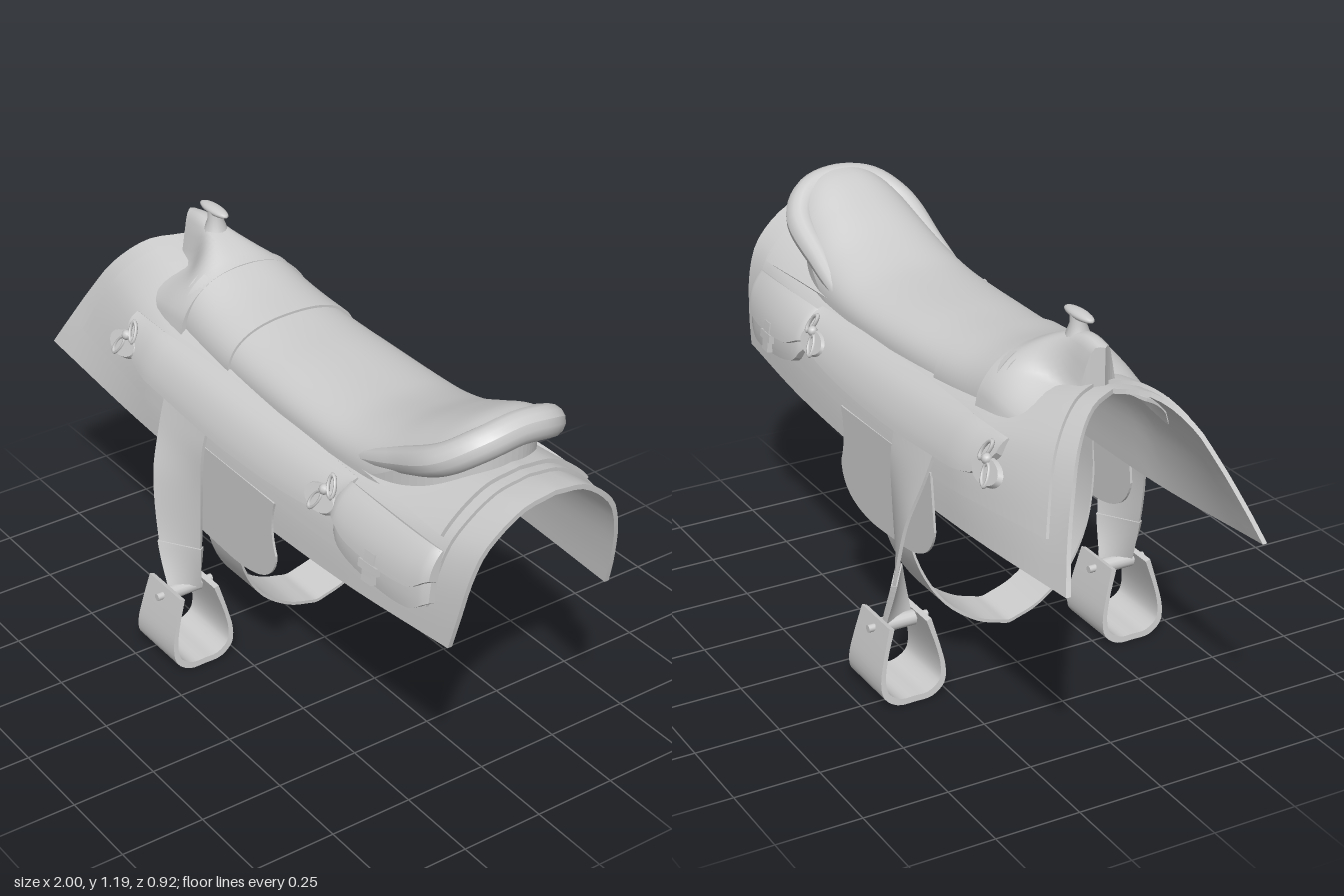
import * as THREE from 'three';

const material = new THREE.MeshStandardMaterial({ color: 0xcccccc, roughness: 0.8 });

// Smooth function through [x, y] pairs, held flat past both ends
function curve(...p) {
  const slope = i => {
    const a = p[Math.max(i - 1, 0)], b = p[Math.min(i + 1, p.length - 1)];
    return (b[1] - a[1]) / (b[0] - a[0]);
  };
  return x => {
    if (x <= p[0][0]) return p[0][1];
    const i = p.findIndex(q => q[0] >= x) - 1;
    if (i < 0) return p[p.length - 1][1];
    const d = p[i + 1][0] - p[i][0], t = (x - p[i][0]) / d, t2 = t * t, t3 = t2 * t;
    return p[i][1] * (2 * t3 - 3 * t2 + 1) + slope(i) * d * (t3 - 2 * t2 + t)
      + p[i + 1][1] * (3 * t2 - 2 * t3) + slope(i + 1) * d * (t3 - t2);
  };
}

// Closed solid between two surfaces (u, v) => [x, y, z]
function slab(outer, inner, nu, nv) {
  const pos = [], idx = [];
  const quad = (a, b, c, d) => idx.push(a, b, c, a, c, d);
  const at = (k, i, j) => k * (nu + 1) * (nv + 1) + j * (nu + 1) + i;
  for (const f of [outer, inner])
    for (let j = 0; j <= nv; j++) for (let i = 0; i <= nu; i++) pos.push(...f(i / nu, j / nv));
  for (let j = 0; j < nv; j++) for (let i = 0; i < nu; i++) {
    quad(at(0, i, j), at(0, i + 1, j), at(0, i + 1, j + 1), at(0, i, j + 1));
    quad(at(1, i, j), at(1, i, j + 1), at(1, i + 1, j + 1), at(1, i + 1, j));
  }
  const wall = (a, b) => {
    const n = pos.length / 3;
    for (const f of [inner, outer]) for (const q of [a, b]) pos.push(...f(q[0] / nu, q[1] / nv));
    quad(n, n + 1, n + 3, n + 2);
  };
  for (let i = 0; i < nu; i++) { wall([i, 0], [i + 1, 0]); wall([i + 1, nv], [i, nv]); }
  for (let j = 0; j < nv; j++) { wall([nu, j], [nu, j + 1]); wall([0, j + 1], [0, j]); }
  const g = new THREE.BufferGeometry();
  g.setAttribute('position', new THREE.Float32BufferAttribute(pos, 3));
  g.setIndex(idx);
  g.computeVertexNormals();
  return g;
}

// The arched surface everything rests on: spine height, lower edge, half width
const spine = curve([-1, 1.05], [-0.73, 1.02], [-0.4, 0.96], [0.2, 0.93], [0.6, 0.95], [0.98, 1.01]);
const hem = curve([-1, 0.64], [-0.5, 0.6], [0, 0.59], [0.5, 0.595], [0.95, 0.61]);
const half = curve([-1, 0.288], [-0.5, 0.292], [0, 0.297], [0.5, 0.285], [0.95, 0.25]);
const archW = curve([0, 0], [0.2, 0.39], [0.45, 0.78], [0.62, 0.92], [0.82, 0.98], [1, 1]);
const flareW = curve([0, 0], [0.2, 0.28], [0.34, 0.45], [0.58, 0.7], [0.82, 0.89], [1, 1]);
const flare = curve([-0.88, 1], [-0.45, 0]);
const archH = curve([0, 1], [0.2, 0.95], [0.45, 0.74], [0.62, 0.52], [0.82, 0.24], [1, 0]);
const vOfH = curve([0, 1], [0.24, 0.82], [0.52, 0.62], [0.74, 0.45], [0.95, 0.2], [1, 0]);
const hOfW = curve([0, 1], [0.39, 0.95], [0.78, 0.74], [0.92, 0.52], [0.98, 0.24], [1, 0]);
const vAtY = (x, y) => vOfH((y - hem(x)) / (spine(x) - hem(x)));
const yAt = (x, z) => hem(x) + (spine(x) - hem(x)) * hOfW(Math.abs(z) / half(x));
const arch = (x, v, o) => {
  const a = Math.abs(v), h = archH(a), w = archW(a) + (flareW(a) - archW(a)) * flare(x);
  return [x, hem(x) + (spine(x) - hem(x)) * h + o * h, Math.sign(v) * (half(x) + o) * w];
};

// Layer draped over the arch
function drape(x0, x1, edgeY, o0, o1) {
  const f = o => (u, t) => {
    const s = 1 - 2 * t, a = Math.abs(s);
    const x = x0(a) + (x1(a) - x0(a)) * u;
    return arch(x, s * (edgeY ? vAtY(x, edgeY(x)) : 1), o);
  };
  return slab(f(o1), f(o0), 40, 32);
}

// Point of the left flank near height y, raised by o
const flank = (x, y, o) => arch(x, vAtY(x, y - 0.02), o);

// Panel lying on the left flank; bulge is its outer offset
function panel(x0, x1, low, high, o0, bulge) {
  const f = off => (u, v) => {
    const x = x0 + (x1 - x0) * u;
    return flank(x, low(x) + (high(x) - low(x)) * v, off(u, v));
  };
  return slab(f(bulge), f(() => o0), 28, 10);
}

// Path in the z-y plane: a half outline from its top down, its mirror, and the middle point
const hanging = (side, bottom) => new THREE.CatmullRomCurve3(
  [...side.map(([z, y]) => [-z, y]), [0, bottom], ...side.slice().reverse()].map(([z, y]) => new THREE.Vector3(0, y, z)));

function mirrored(geometry) {
  const g = (geometry.index ? geometry.toNonIndexed() : geometry.clone()).scale(1, 1, -1);
  for (const a of Object.values(g.attributes)) {
    for (let i = 0; i < a.count; i += 3) for (let k = 0; k < a.itemSize; k++) {
      const t = a.getComponent(i + 1, k);
      a.setComponent(i + 1, k, a.getComponent(i + 2, k));
      a.setComponent(i + 2, k, t);
    }
  }
  return g;
}

export function createModel() {
  const model = new THREE.Group();
  model.name = 'saddle';
  const add = (name, geometry) => {
    const m = new THREE.Mesh(geometry, material);
    m.name = name;
    model.add(m);
  };
  const pair = (name, geometry) => { add(name + 'Left', geometry); add(name + 'Right', mirrored(geometry)); };
  const flat = y => () => y;

  // Blanket, skirt and rear jockey, stacked
  add('blanket', drape(a => -0.72 - 0.28 * a ** 1.08, a => 0.995 - 0.075 * a * a, null, 0, 0.014));
  add('skirt', drape(a => -0.65 - 0.21 * a, a => 0.89 - 0.05 * a * a,
    curve([-0.86, 0.73], [-0.4, 0.69], [0, 0.68], [0.85, 0.69]), 0.012, 0.024));
  add('rearJockey', drape(flat(0.42), a => 0.855 - 0.01 * a, flat(0.875), 0.02, 0.036));

  // Seat with its dished top line; the rear face slants under the cantle
  const seatTop = curve([-0.45, 1.075], [-0.3, 1.03], [-0.15, 1.008], [0, 0.998], [0.33, 0.995],
    [0.5, 1.033], [0.65, 1.1], [0.77, 1.155], [0.82, 1.163]);
  const seatHalf = curve([-0.45, 0.195], [-0.15, 0.21], [0.3, 0.222], [0.7, 0.212], [0.81, 0.19]);
  const seat = (x0, x1, o, slant) => (u, t) => {
    const a = (0.5 - t) * Math.PI, c = Math.max(Math.cos(a), 0) ** 0.8;
    const x = x0 + (x1 - x0) * u - slant * u ** 3 * (1 - c);
    const z = Math.sign(a) * (seatHalf(x) + o) * Math.abs(Math.sin(a)) ** 0.85;
    return [x, 0.88 + (seatTop(x) + o - 0.88) * c, z];
  };
  const under = f => (u, t) => { const [x, y, z] = f(u, t); return [x, Math.min(y - 0.01, yAt(x, z)), z]; };
  const seatBody = seat(-0.45, 0.82, 0, 0.36);
  add('seat', slab(seatBody, under(seatBody), 48, 40));
  add('seatBand', slab(seat(-0.43, -0.16, 0.007, 0), seat(-0.43, -0.16, -0.005, 0), 12, 32));

  // Cantle roll, thinning toward its ends
  const rim = [[0.38, 0.895, 0.2], [0.58, 0.97, 0.182], [0.755, 1.052, 0.165], [0.82, 1.103, 0.1]];
  const rimPath = new THREE.CatmullRomCurve3([...rim, [0.832, 1.122, 0],
    ...rim.map(([x, y, z]) => [x, y, -z]).reverse()].map(p => new THREE.Vector3(...p)));
  const roll = new THREE.TubeGeometry(rimPath, 60, 0.046, 14);
  const rp = roll.attributes.position, q = new THREE.Vector3();
  for (let i = 0; i < rp.count; i++) {
    const u = Math.floor(i / 15) / 60;
    q.fromBufferAttribute(rp, i).lerp(rimPath.getPointAt(u), 0.75 * Math.abs(2 * u - 1) ** 2.5);
    rp.setXYZ(i, q.x, q.y, q.z);
  }
  roll.computeVertexNormals();
  add('cantleRoll', roll);

  // Fork, flaring from a narrow neck back to the seat
  const forkTop = curve([-0.68, 1.13], [-0.6, 1.14], [-0.5, 1.115], [-0.4, 1.067]);
  const neck = curve([-0.67, 0.045], [-0.55, 0.06], [-0.4, 0.16]);
  const spread = curve([-0.67, 0.42], [-0.55, 0.56], [-0.4, 1]);
  const forkHalf = curve([-0.67, 0.2], [-0.5, 0.222], [-0.4, 0.225]);
  const fork = (u, t) => {
    const v = 1 - 2 * t, front = 0.035 * Math.sin(Math.PI * Math.min(Math.abs(v) * 1.6, 1));
    const x = -0.68 + 0.285 * u + front * (1 - u), z = forkHalf(x) * v, s = spread(x);
    const h = s * Math.sqrt(Math.max(1 - Math.abs(v) ** 2.2, 0)) + (1 - s) * Math.exp(-((z / neck(x)) ** 4));
    return [x, 0.88 + (forkTop(x) - 0.88) * h, z];
  };
  add('fork', slab(fork, under(fork), 16, 40));

  // Horn
  const stem = [[0.045, 0], [0.034, 0.03], [0.023, 0.06], [0.022, 0.09]].map(p => new THREE.Vector2(...p));
  add('hornStem', new THREE.LatheGeometry(stem, 16).translate(-0.545, 1.09, 0));
  add('hornCap', new THREE.SphereGeometry(1, 20, 10).scale(0.067, 0.013, 0.022).translate(-0.55, 1.177, 0));

  // Side jockeys and saddle bags
  pair('sideJockey', panel(-0.6, 0.48,
    curve([-0.6, 0.86], [-0.53, 0.79], [-0.3, 0.762], [0, 0.75], [0.3, 0.76], [0.43, 0.785], [0.48, 0.84]),
    curve([-0.6, 0.9], [-0.3, 0.895], [0.48, 0.88]), 0.015, (u, v) => 0.044 - 0.016 * v * v));
  const round = (u, v) => Math.max(Math.sin(Math.PI * u) * Math.sin(Math.PI * Math.min(v + 0.1, 1)), 0) ** 0.35;
  const bagLow = curve([0.47, 0.77], [0.51, 0.725], [0.64, 0.698], [0.8, 0.693], [0.86, 0.73]);
  pair('saddleBag', panel(0.47, 0.86, bagLow, flat(0.865), 0.01, (u, v) => 0.034 + 0.026 * round(u, v)));
  pair('bagFlap', panel(0.465, 0.865, curve([0.465, 0.79], [0.56, 0.755], [0.8, 0.75], [0.865, 0.79]),
    flat(0.87), 0.02, (u, v) => 0.048 + 0.019 * Math.sin(Math.PI * u) ** 0.4 - 0.02 * v * v));
  pair('bagStrap', panel(0.645, 0.685, flat(0.7), flat(0.775), 0.03, () => 0.071));
  pair('bagBuckle', panel(0.63, 0.7, flat(0.728), flat(0.748), 0.03, () => 0.074));

  // Tie strings: a rosette with two loops and a knot
  for (const [name, x, y] of [['frontTie', -0.59, 0.83], ['rearTie', 0.41, 0.82]]) {
    const place = g => g.rotateX(-0.45).translate(...flank(x, y, 0.042));
    pair(name + 'Rosette', place(new THREE.CylinderGeometry(0.05, 0.055, 0.014, 20).rotateX(Math.PI / 2)
      .scale(1.25, 0.7, 1).translate(0, -0.02, 0.001)));
    pair(name + 'Knot', place(new THREE.SphereGeometry(0.015, 10, 8).translate(0.01, 0.01, 0.01)));
    for (const s of [-1, 1]) pair(name + (s < 0 ? 'Front' : 'Back') + 'Loop',
      place(new THREE.TorusGeometry(0.025, 0.006, 6, 18).scale(0.55, 1.2, 1)
        .rotateZ(s * 0.4).translate(s * 0.02 + 0.01, s * 0.028, 0.008)));
  }

  // Rigging flaps beneath the skirt
  const flap = new THREE.Shape();
  flap.moveTo(-0.32, 0.7);
  flap.lineTo(-0.34, 0.53);
  flap.quadraticCurveTo(-0.32, 0.42, -0.16, 0.41);
  flap.lineTo(0, 0.4);
  flap.quadraticCurveTo(0.21, 0.4, 0.215, 0.52);
  flap.quadraticCurveTo(0.18, 0.6, 0.21, 0.69);
  pair('riggingFlap', new THREE.ExtrudeGeometry(flap, { depth: 0.007, bevelEnabled: false }).translate(0, 0, 0.308));

  // Fenders, turning a quarter as they drop to the stirrups
  const fx = curve([0.2, -0.21], [0.35, -0.262], [0.55, -0.305], [0.68, -0.33], [0.77, -0.34]);
  const fz = curve([0.2, 0.402], [0.35, 0.393], [0.55, 0.375], [0.68, 0.334], [0.77, 0.305]);
  const bx = curve([0.2, -0.19], [0.35, -0.155], [0.55, -0.135], [0.77, -0.12]);
  const bz = curve([0.2, 0.31], [0.35, 0.32], [0.55, 0.324], [0.68, 0.322], [0.77, 0.305]);
  const fender = t => (u, v) => {
    const y = 0.2 + 0.57 * v, dx = bx(y) - fx(y), dz = bz(y) - fz(y), l = t / Math.hypot(dx, dz);
    return [fx(y) + dx * u - dz * l, y, fz(y) + dz * u + dx * l];
  };
  pair('fender', slab(fender(0.01), fender(0), 8, 24));
  const cuff = t => (u, v) => fender(t)(u * 1.04 - 0.02, v * 0.27);
  pair('fenderCuff', slab(cuff(0.014), cuff(-0.004), 6, 8));

  // Stirrups: a wide band, narrower at the top, on a crossbar
  const outside = hanging([[0.065, 0.235], [0.09, 0.14], [0.101, 0.08], [0.094, 0.033], [0.055, 0.003]], 0);
  const inside = hanging([[0.05, 0.23], [0.077, 0.14], [0.086, 0.08], [0.078, 0.043], [0.042, 0.019]], 0.018);
  const tread = path => (u, v) => {
    const p = path.getPoint(v);
    return [-0.197 + 0.21 * (u - 0.5) * (1 - 0.9 * p.y), p.y, 0.358 + p.z];
  };
  pair('stirrup', slab(tread(outside), tread(inside), 2, 30));
  const bar = (r, l) => new THREE.CylinderGeometry(r, r, l, 14).rotateX(Math.PI / 2).translate(-0.2, 0.205, 0.357);
  pair('stirrupBar', bar(0.011, 0.185));
  pair('strapRoll', bar(0.022, 0.1));

  // Girth passing under the belly, coming to a slight point
  const belly = hanging([[0.312, 0.62], [0.305, 0.47], [0.272, 0.33], [0.2, 0.21], [0.1, 0.134], [0.03, 0.11]], 0.103);
  const girth = k => (u, v) => {
    const p = belly.getPoint(v);
    return [-0.2 + 0.16 * u + 0.12 * (p.y - 0.1), 0.62 + (p.y - 0.62) * k, p.z * k];
  };
  add('girth', slab(girth(1), girth(0.98), 2, 48));

  return model;
}
